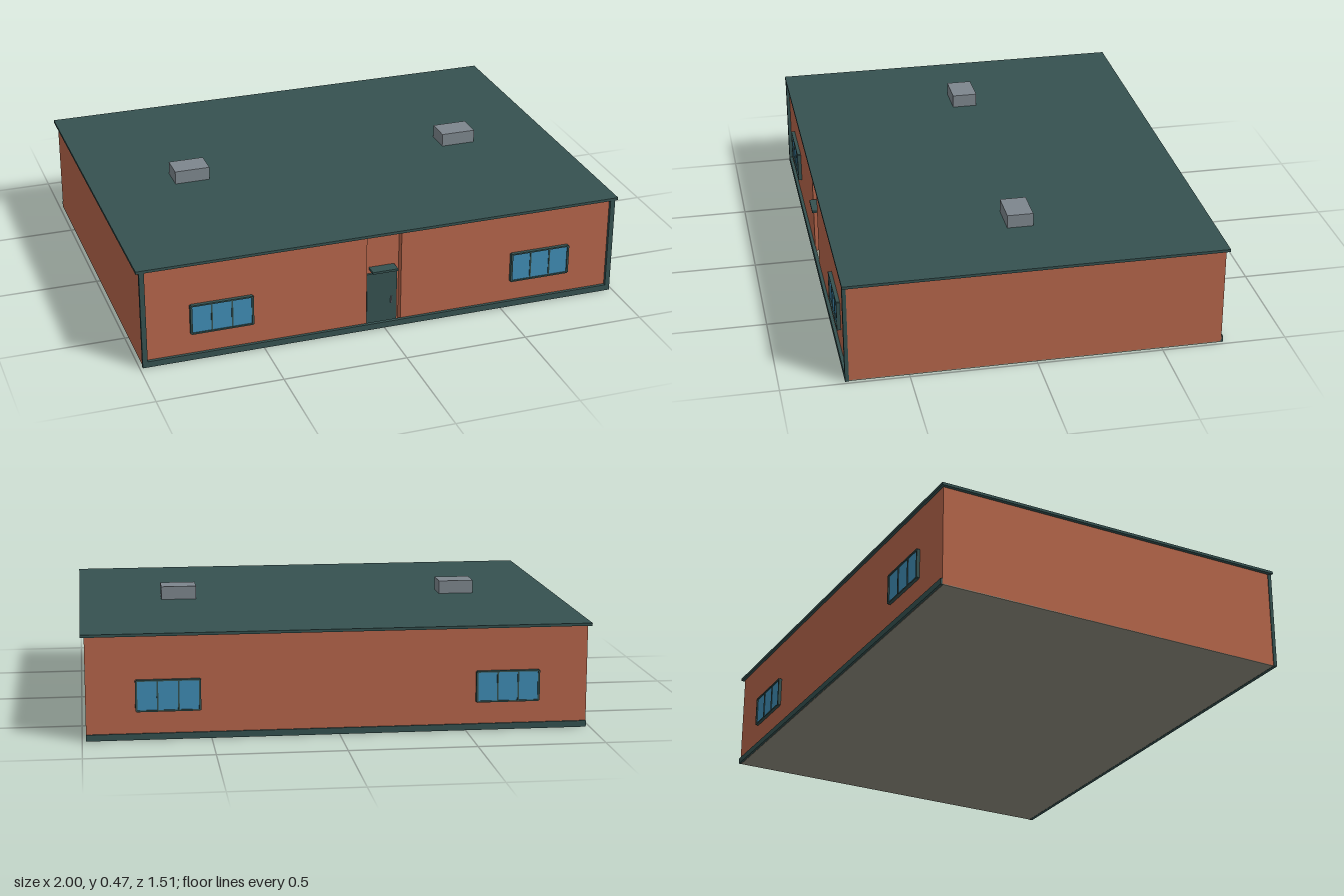
import * as THREE from 'three';

const material = (name, color) => {
  const m = new THREE.MeshStandardMaterial({ color });
  m.name = name;
  return m;
};

export function createModel() {
  const brick = material('brick', 0xb5654a);
  const trim = material('dark green trim', 0x355150);
  const glass = material('window glass', 0x3f8cb4);
  const metal = material('vent grey', 0x7d868d);
  const concrete = material('floor concrete', 0x8f8d7e);

  const model = new THREE.Group();
  model.name = 'building';

  // Box given by its limits on each axis
  const box = (name, mat, [x0, x1], [y0, y1], [z0, z1], parent = model) => {
    const mesh = new THREE.Mesh(new THREE.BoxGeometry(x1 - x0, y1 - y0, z1 - z0), mat);
    mesh.position.set((x0 + x1) / 2, (y0 + y1) / 2, (z0 + z1) / 2);
    mesh.name = name;
    parent.add(mesh);
    return mesh;
  };

  // Walls: a core block, with two front slabs leaving the entrance recess
  box('floor', concrete, [-0.985, 0.985], [0, 0.004], [-0.738, 0.733]);
  box('walls', brick, [-0.985, 0.985], [0.002, 0.41], [-0.742, 0.705]);
  box('frontWallRight', brick, [-0.985, -0.072], [0.002, 0.41], [0.705, 0.736]);
  box('frontWallLeft', brick, [0.072, 0.985], [0.002, 0.41], [0.705, 0.736]);

  // Roof and base strips
  box('roof', trim, [-1, 1], [0.409, 0.42], [-0.754, 0.75]);
  box('frontBase', trim, [-0.985, 0.985], [0, 0.025], [0.734, 0.749]);
  box('backBase', trim, [-0.985, 0.985], [0, 0.025], [-0.749, -0.74]);

  // Front corner posts, roof vents
  for (const s of [-1, 1]) {
    const span = (a, b) => (s > 0 ? [a, b] : [-b, -a]);
    box('cornerPost', trim, span(0.968, 0.988), [0, 0.41], [0.734, 0.749]);
    box('roofVent', metal, span(0.515, 0.66), [0.418, 0.474], [-0.052, 0.052]);
  }

  // Entrance: door, handle, jambs and canopy
  box('door', trim, [-0.063, 0.063], [0.005, 0.23], [0.7, 0.714]);
  box('doorHandle', metal, [0.036, 0.042], [0.09, 0.12], [0.712, 0.72]);
  box('entranceCanopy', trim, [-0.053, 0.053], [0.249, 0.258], [0.7, 0.754]);

  // Three-pane window, facing +z from its own origin
  const addWindow = (x, z, turn) => {
    const win = new THREE.Group();
    win.name = 'window';
    const w = 0.123, h = 0.06;
    box('windowBacking', trim, [-w, w], [-h, h], [-0.005, 0.006], win);
    for (const s of [-1, 1]) {
      box('frameSide', trim, [s * w - 0.004, s * w + 0.004], [-h, h], [-0.005, 0.014], win);
      box('frameRail', trim, [-w, w], [s * h - 0.003, s * h + 0.003], [-0.005, 0.014], win);
      box('mullion', trim, [s * 0.041 - 0.003, s * 0.041 + 0.003], [-h, h], [-0.005, 0.012], win);
    }
    for (const i of [-1, 0, 1]) {
      box('pane', glass, [i * 0.081 - 0.038, i * 0.081 + 0.038], [-h + 0.003, h - 0.003], [0.004, 0.009], win);
    }
    win.position.set(x, 0.175, z);
    win.rotation.y = turn;
    model.add(win);
  };
  for (const x of [-0.667, 0.667]) {
    addWindow(x, 0.737, 0);
    addWindow(x, -0.741, Math.PI);
  }

  return model;
}
